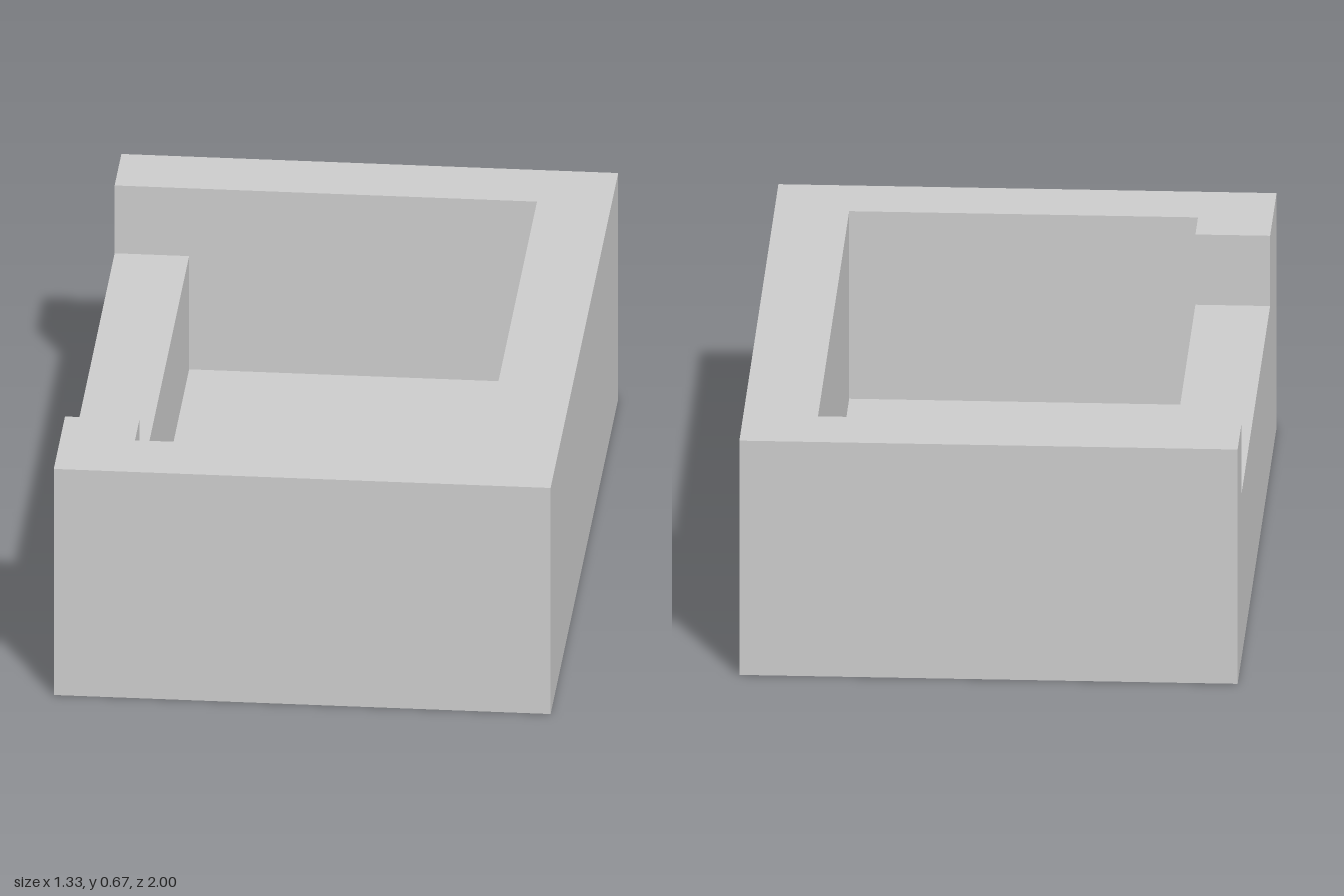
import * as THREE from 'three';

// Cell boundaries: outer faces, cavity walls and the end of the side notch
const xs = [-0.667, -0.467, 0.467, 0.667];
const zs = [-1, -0.8, 0.667, 0.8, 1];
const RIM = 0.667, SILL = 0.467, FLOOR = 0.133;

// Top height of each cell: rows run back to front, columns from -x to +x
const heights = [
  [RIM, RIM, RIM],
  [SILL, FLOOR, RIM],
  [RIM, FLOOR, RIM],
  [RIM, RIM, RIM],
];
const heightAt = (i, j) => heights[j]?.[i] ?? 0;

function trayGeometry() {
  const positions = [];
  const quad = (a, b, c, d) => positions.push(...a, ...b, ...c, ...a, ...c, ...d);

  for (let j = 0; j < zs.length; j++) {
    for (let i = 0; i < xs.length; i++) {
      const [x0, x1, z0, z1] = [xs[i], xs[i + 1], zs[j], zs[j + 1]];
      const h = heightAt(i, j), hx = heightAt(i - 1, j), hz = heightAt(i, j - 1);
      const inX = i < xs.length - 1, inZ = j < zs.length - 1;

      // Rim, sill and cavity floor
      if (inX && inZ) quad([x0, h, z1], [x1, h, z1], [x1, h, z0], [x0, h, z0]);
      // Upright faces across x; the winding flips with the direction of the step
      if (inZ && h !== hx) quad([x0, h, z1], [x0, h, z0], [x0, hx, z0], [x0, hx, z1]);
      // Upright faces across z
      if (inX && h !== hz) quad([x0, h, z0], [x1, h, z0], [x1, hz, z0], [x0, hz, z0]);
    }
  }

  // Underside
  const [x0, x1, z0, z1] = [xs[0], xs[3], zs[0], zs[4]];
  quad([x0, 0, z0], [x1, 0, z0], [x1, 0, z1], [x0, 0, z1]);

  const geometry = new THREE.BufferGeometry();
  geometry.setAttribute('position', new THREE.Float32BufferAttribute(positions, 3));
  geometry.computeVertexNormals();
  return geometry;
}

export function createModel() {
  const group = new THREE.Group();
  group.name = 'notchedTray';
  const material = new THREE.MeshStandardMaterial({ color: 0xcccccc, flatShading: true });
  const tray = new THREE.Mesh(trayGeometry(), material);
  tray.name = 'trayBody';
  group.add(tray);
  return group;
}
